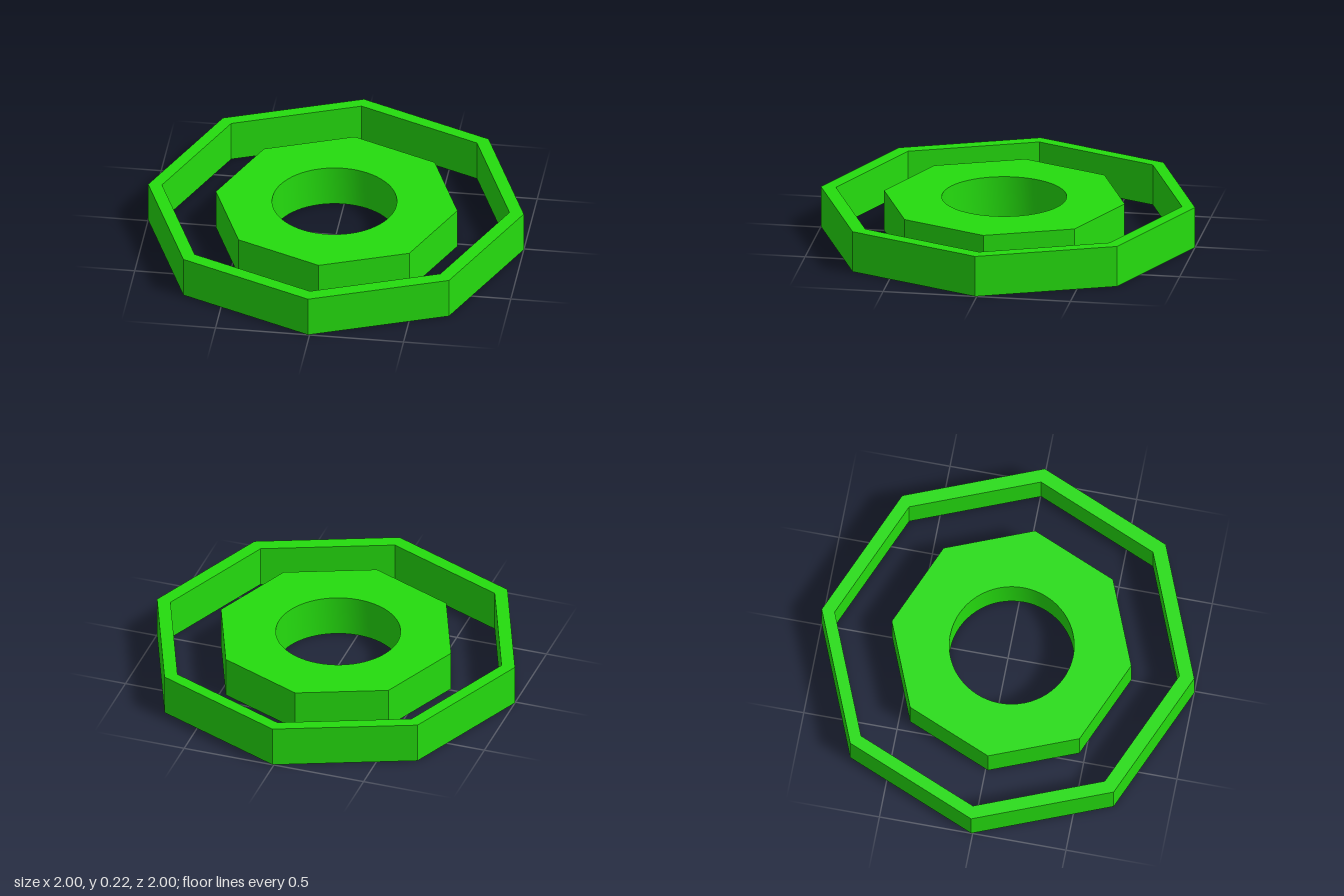
import * as THREE from 'three';
import { toCreasedNormals } from 'three/addons/utils/BufferGeometryUtils.js';

const HEIGHT = 0.222;
const TWIST = 0.008; // slight turn of the octagons

// Points of a regular polygon in the ground plane (shape y becomes z)
function polygon(radius, sides, cx = 0, cz = 0) {
  return Array.from({ length: sides }, (_, i) => {
    const a = TWIST + (i / sides) * Math.PI * 2;
    return new THREE.Vector2(cx + radius * Math.cos(a), cz + radius * Math.sin(a));
  });
}

// Upright ring between two outlines
function ring(name, outline, hole, material) {
  const shape = new THREE.Shape(outline);
  shape.holes.push(new THREE.Path(hole));
  const geometry = new THREE.ExtrudeGeometry(shape, { depth: HEIGHT, bevelEnabled: false });
  geometry.rotateX(Math.PI / 2).translate(0, HEIGHT, 0);
  const mesh = new THREE.Mesh(toCreasedNormals(geometry, Math.PI / 6), material);
  mesh.name = name;
  return mesh;
}

export function createModel() {
  const group = new THREE.Group();
  group.name = 'octagonalRings';
  const green = new THREE.MeshStandardMaterial({ color: 0x24dc0e });

  // Thin octagonal band around the outside
  group.add(ring('outerBand', polygon(1, 8), polygon(0.925, 8, -0.002, -0.005), green));

  // Thick octagonal nut with a round bore
  group.add(ring('innerNut', polygon(0.643, 8, 0.006, 0.018), polygon(0.329, 64, -0.005, 0.021), green));

  return group;
}
